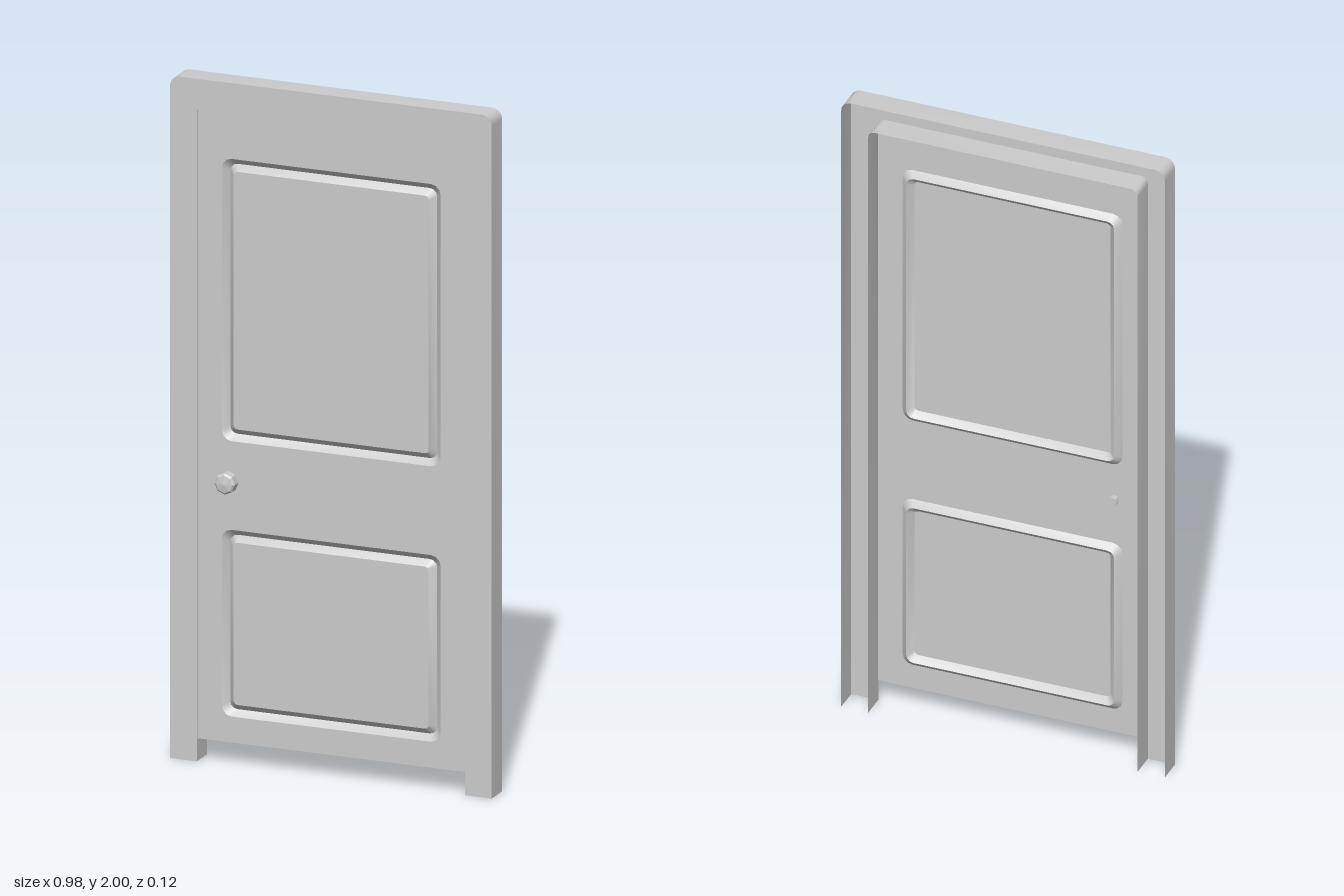
import * as THREE from 'three';
import { toCreasedNormals } from 'three/addons/utils/BufferGeometryUtils.js';

const FRONT = 0.014, BACK = -0.06, DOOR_Z = 0.011, DOOR_BOTTOM = 0.067;
const material = new THREE.MeshStandardMaterial({ color: 0xcccccc, side: THREE.DoubleSide });

// Points of a rounded corner, starting at angle a0 and turning a quarter
function corner(cx, cy, r, a0, steps = 5) {
  return Array.from({ length: steps + 1 }, (_, i) => {
    const a = a0 + (i / steps) * Math.PI / 2;
    return new THREE.Vector2(cx + r * Math.cos(a), cy + r * Math.sin(a));
  });
}

// Open arch: up the +x side, across the top, down the -x side
function arch(halfWidth, bottom, top, r) {
  return [
    new THREE.Vector2(halfWidth, bottom),
    ...corner(halfWidth - r, top - r, r, 0),
    ...corner(-halfWidth + r, top - r, r, Math.PI / 2),
    new THREE.Vector2(-halfWidth, bottom),
  ];
}

// Closed rounded rectangle, counter-clockwise
function roundedRect(x, y0, y1, r) {
  return [
    ...corner(x - r, y1 - r, r, 0, 3),
    ...corner(-x + r, y1 - r, r, Math.PI / 2, 3),
    ...corner(-x + r, y0 + r, r, Math.PI, 3),
    ...corner(x - r, y0 + r, r, Math.PI * 1.5, 3),
  ];
}

// Skin a series of outlines, each given as [points, z]
function loft(rings, closed) {
  const n = rings[0][0].length, positions = [], index = [];
  for (const [points, z] of rings) for (const p of points) positions.push(p.x, p.y, z);
  for (let r = 0; r < rings.length - 1; r++) {
    for (let i = 0; i < (closed ? n : n - 1); i++) {
      const a = r * n + i, b = r * n + (i + 1) % n;
      index.push(a, b, b + n, a, b + n, a + n);
    }
  }
  const geometry = new THREE.BufferGeometry();
  geometry.setAttribute('position', new THREE.Float32BufferAttribute(positions, 3));
  geometry.setIndex(index);
  return toCreasedNormals(geometry, 0.6);
}

function add(parent, name, geometry, mat = material) {
  const mesh = new THREE.Mesh(geometry, mat);
  mesh.name = name;
  parent.add(mesh);
  return mesh;
}

export function createModel() {
  const model = new THREE.Group();
  model.name = 'door';

  // Frame: a channel open at the back and at the feet
  const outer = arch(0.49, 0, 2, 0.03), inner = arch(0.408, 0, 1.92, 0.02);
  add(model, 'frame', loft([[outer, BACK], [outer, FRONT], [inner, FRONT], [inner, BACK]], false));

  // Door leaf: a thin sheet, with a pressed V groove around each panel
  const leaf = new THREE.Group();
  leaf.name = 'doorLeaf';
  model.add(leaf);
  const sheet = new THREE.Shape(arch(0.408, DOOR_BOTTOM, 1.92, 0.02));
  const panels = [['upper', 0.95, 1.777], ['lower', 0.143, 0.69]];
  for (const [name, y0, y1] of panels) {
    const ring = (inset, r) => roundedRect(0.333 - inset, y0 + inset, y1 - inset, r);
    const edge = ring(0, 0.03), valley = ring(0.018, 0.022), field = ring(0.036, 0.012);
    sheet.holes.push(new THREE.Path(edge));
    add(leaf, name + 'Groove',
      loft([[edge, DOOR_Z], [valley, DOOR_Z - 0.018], [field, DOOR_Z]], true));
    add(leaf, name + 'Panel', new THREE.ShapeGeometry(new THREE.Shape(field))).position.z = DOOR_Z;
  }
  add(leaf, 'sheet', new THREE.ShapeGeometry(sheet)).position.z = DOOR_Z;

  // Knob: faceted, its stem passing through the leaf
  const profile = [[0, -0.006], [0.014, -0.006], [0.014, 0.018], [0.026, 0.018],
    [0.031, 0.023], [0.031, 0.05], [0.026, 0.055], [0, 0.059]];
  const knobMaterial = material.clone();
  knobMaterial.flatShading = true;
  const knobGeometry = new THREE.LatheGeometry(profile.map(p => new THREE.Vector2(...p)), 8);
  knobGeometry.rotateX(Math.PI / 2);
  add(model, 'knob', knobGeometry, knobMaterial).position.set(-0.308, 0.835, 0);

  return model;
}
